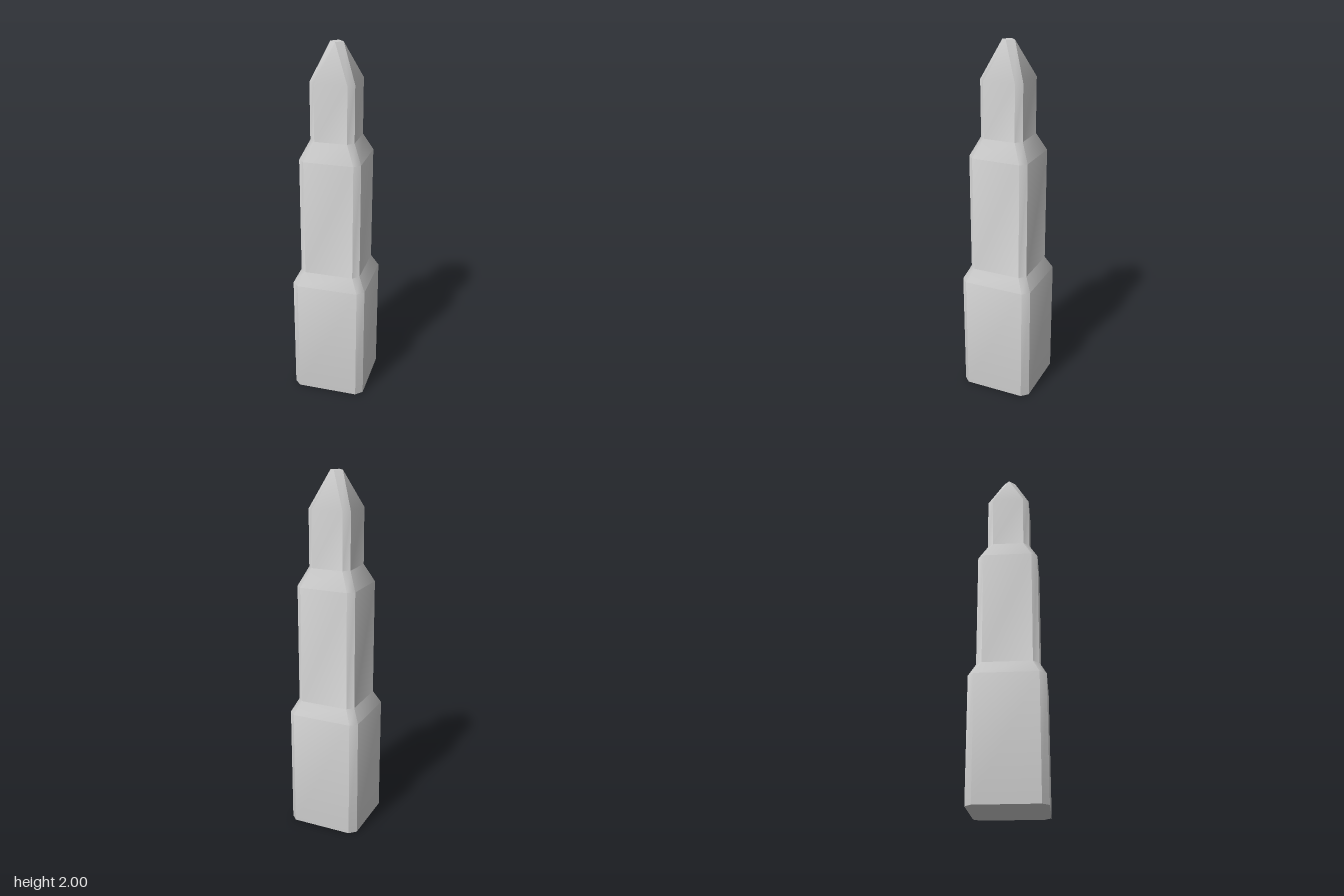
import * as THREE from 'three';
import { toCreasedNormals } from 'three/addons/utils/BufferGeometryUtils.js';

// Square with cut corners: h = half width, c = half length of the flat side
function ring(y, h, c) {
  return [[h, -c], [h, c], [c, h], [-c, h], [-h, c], [-h, -c], [-c, -h], [c, -h]]
    .map(([x, z]) => new THREE.Vector3(x, y, z));
}

// Skin a stack of rings and close both ends
function loft(rings) {
  const points = [];
  const tri = (a, b, c) => {
    if (a.distanceTo(b) > 1e-5 && b.distanceTo(c) > 1e-5 && c.distanceTo(a) > 1e-5) points.push(a, b, c);
  };
  const n = rings[0].length;
  for (let r = 0; r < rings.length - 1; r++) {
    const low = rings[r], high = rings[r + 1];
    for (let i = 0; i < n; i++) {
      const j = (i + 1) % n;
      tri(low[i], high[i], low[j]);
      tri(low[j], high[i], high[j]);
    }
  }
  const bottom = rings[0], top = rings[rings.length - 1];
  const bottomCentre = new THREE.Vector3(0, bottom[0].y, 0);
  const topCentre = new THREE.Vector3(0, top[0].y, 0);
  for (let i = 0; i < n; i++) {
    const j = (i + 1) % n;
    tri(bottomCentre, bottom[i], bottom[j]);
    tri(topCentre, top[j], top[i]);
  }
  return new THREE.BufferGeometry().setFromPoints(points);
}

export function createModel() {
  const group = new THREE.Group();
  group.name = 'steppedTower';

  // Height, half width and flat half length at each level
  const levels = [
    [0, 0.206, 0.17],      // base block
    [0.675, 0.206, 0.17],
    [0.75, 0.168, 0.135],  // middle block
    [1.4, 0.168, 0.135],
    [1.5, 0.12, 0.088],    // upper block
    [1.805, 0.12, 0.088],
    [2, 0.035, 0],         // diamond-shaped tip
  ];

  // Bevels blend softly at their corners; the upright edges stay sharp
  const geometry = toCreasedNormals(loft(levels.map((l) => ring(...l))), THREE.MathUtils.degToRad(40));
  const tower = new THREE.Mesh(geometry, new THREE.MeshStandardMaterial({ color: 0xcccccc }));
  tower.name = 'towerBody';
  group.add(tower);
  return group;
}
